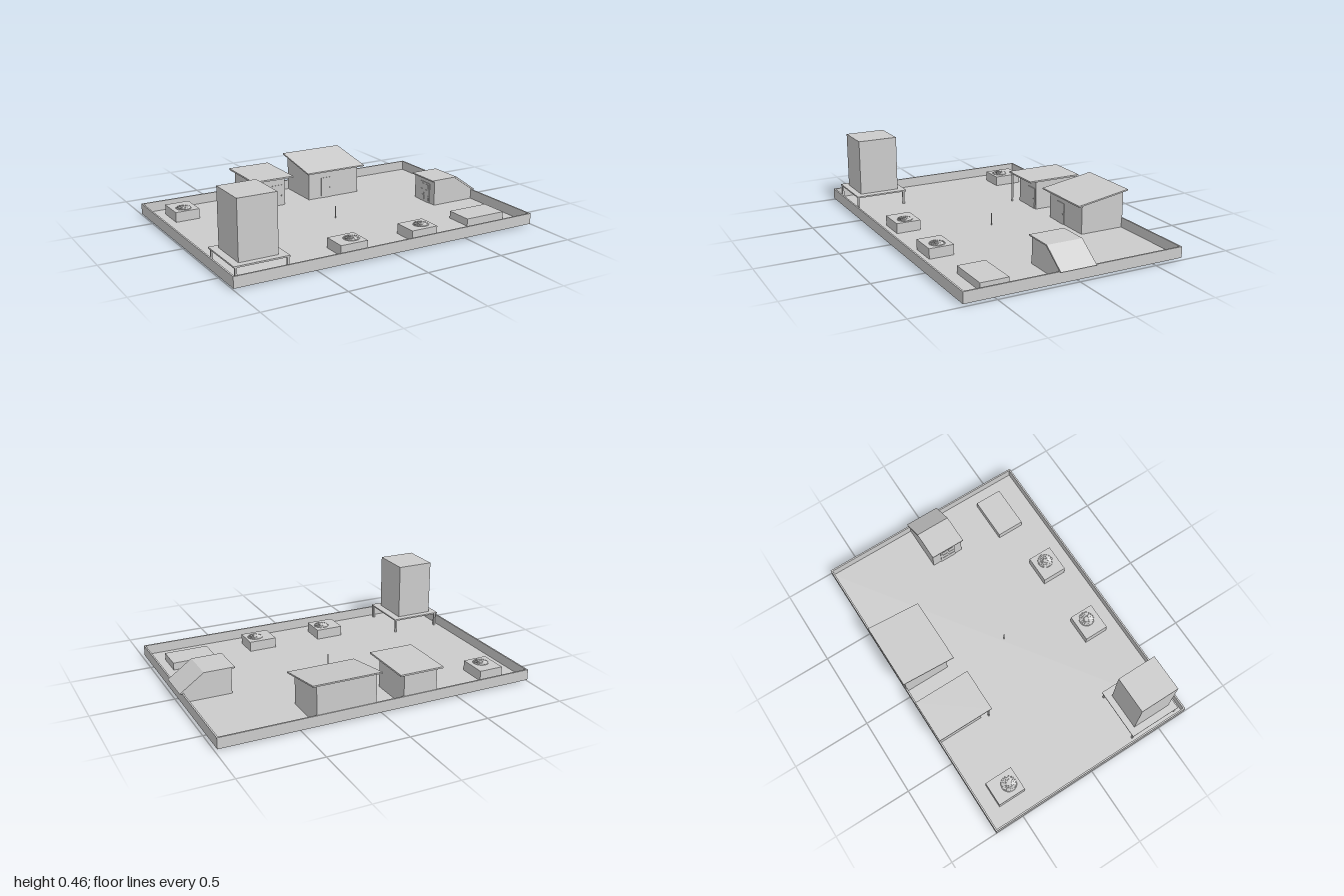
import * as THREE from 'three';

const mat = new THREE.MeshStandardMaterial({ color: 0xcccccc, flatShading: true });
const FLOOR = 0.014;

function add(parent, name, geometry) {
  const mesh = new THREE.Mesh(geometry, mat);
  mesh.name = name;
  parent.add(mesh);
  return mesh;
}

// Box given by its extents on each axis
function box(parent, name, x0, x1, y0, y1, z0, z1) {
  const m = add(parent, name, new THREE.BoxGeometry(x1 - x0, y1 - y0, z1 - z0));
  m.position.set((x0 + x1) / 2, (y0 + y1) / 2, (z0 + z1) / 2);
  return m;
}

function extrude(points, depth) {
  const shape = new THREE.Shape(points.map(([a, b]) => new THREE.Vector2(a, b)));
  return new THREE.ExtrudeGeometry(shape, { depth, bevelEnabled: false });
}

// Side profile in (z, y) carried along x
function prismX(parent, name, points, x0, x1) {
  const g = extrude(points.map(([z, y]) => [-z, y]), x1 - x0);
  g.rotateY(Math.PI / 2).translate(x0, 0, 0);
  return add(parent, name, g);
}

// Front profile in (x, y) carried along z
function prismZ(parent, name, points, z0, z1) {
  return add(parent, name, extrude(points, z1 - z0).translate(0, 0, z0));
}

function group(parent, name) {
  const g = new THREE.Group();
  g.name = name;
  parent.add(g);
  return g;
}

// Cooling unit with a round bladed fan on top
function coolingUnit(parent, x0, x1, z0, z1, fx, fz) {
  const unit = group(parent, 'coolingUnit');
  const top = 0.077;
  box(unit, 'unitCasing', x0, x1, FLOOR, top, z0, z1);
  const fan = group(unit, 'fan');
  fan.position.set(fx, top, fz);
  for (const r of [0.046, 0.018]) {
    add(fan, 'fanRing', new THREE.TorusGeometry(r, 0.003, 6, 24).rotateX(Math.PI / 2));
  }
  add(fan, 'fanHub', new THREE.CylinderGeometry(0.012, 0.012, 0.006, 16));
  const blades = 18;
  for (let i = 0; i < blades; i++) {
    const g = new THREE.BoxGeometry(0.032, 0.0015, 0.007);
    g.rotateX(0.5).translate(0.03, 0.001, 0).rotateY((i / blades) * Math.PI * 2);
    add(fan, 'fanBlade', g);
  }
}

// Front door with a knob
function door(parent, x0, x1) {
  box(parent, 'door', x0, x1, 0, 0.15, -0.404, -0.386);
  const knob = add(parent, 'doorKnob', new THREE.SphereGeometry(0.004, 8, 6));
  knob.position.set(x1 - 0.012, 0.08, -0.405);
  knob.position.z = -0.386;
}

export function createModel() {
  const model = new THREE.Group();
  model.name = 'rooftop';

  // Slab and parapet
  const x0 = -1, x1 = 0.985, zb = -0.69, zf = 0.69, rim = 0.075, t = 0.01;
  box(model, 'floorSlab', x0, x1, 0.008, FLOOR, zb, zf);
  box(model, 'parapetFront', x0, x1, 0.01, rim, zf - t, zf);
  box(model, 'parapetBack', x0, x1, 0.01, rim, zb, zb + t);
  box(model, 'parapetRight', x0, x0 + t, 0.01, rim, zb + t, zf - t);
  box(model, 'parapetLeft', x1 - t, x1, 0.01, rim, zb + t, zf - t);

  // Water tank on a four-legged platform
  const tank = group(model, 'waterTank');
  box(tank, 'tankBody', -0.93, -0.695, 0.107, 0.46, 0.35, 0.605);
  box(tank, 'tankPlatform', -0.975, -0.645, 0.099, 0.108, 0.31, 0.645);
  for (const x of [-0.962, -0.658]) {
    for (const z of [0.325, 0.638]) {
      box(tank, 'platformLeg', x - 0.006, x + 0.006, 0.004, 0.1, z - 0.006, z + 0.006);
    }
  }

  // Cooling units
  coolingUnit(model, -0.88, -0.725, -0.59, -0.41, -0.803, -0.475);
  coolingUnit(model, -0.3, -0.125, 0.435, 0.59, -0.187, 0.512);
  coolingUnit(model, 0.178, 0.355, 0.437, 0.592, 0.29, 0.515);

  // Low bench
  box(model, 'lowBench', 0.615, 0.89, FLOOR, 0.06, 0.37, 0.545);

  // Thin pole in the middle
  const pole = add(model, 'pole', new THREE.CylinderGeometry(0.003, 0.003, 0.078, 8));
  pole.position.set(0.002, 0.053, 0.012);

  // Small hut with a flat roof on one post
  const hut = group(model, 'smallHut');
  box(hut, 'hutWalls', -0.355, -0.14, FLOOR, 0.207, -0.685, -0.39);
  box(hut, 'hutRoof', -0.39, -0.11, 0.206, 0.216, -0.695, -0.328);
  const post = add(hut, 'roofPost', new THREE.CylinderGeometry(0.006, 0.006, 0.194, 10));
  post.position.set(-0.367, 0.111, -0.34);
  door(hut, -0.23, -0.155);

  // Large hut with a roof rising to the back
  const house = group(model, 'largeHut');
  prismX(house, 'houseWalls',
    [[-0.39, FLOOR], [-0.39, 0.204], [-0.685, 0.252], [-0.685, FLOOR]], 0.037, 0.407);
  prismX(house, 'houseRoof',
    [[-0.35, 0.197], [-0.35, 0.206], [-0.7, 0.263], [-0.7, 0.254]], 0.01, 0.435);
  door(house, 0.13, 0.207);

  // Stair shed with a roof sloping down over the parapet
  const shed = group(model, 'stairShed');
  prismZ(shed, 'shedWalls',
    [[0.68, FLOOR], [0.982, FLOOR], [0.982, 0.078], [0.843, 0.175], [0.68, 0.175]], -0.098, 0.115);
  prismZ(shed, 'shedRoof',
    [[0.66, 0.174], [0.842, 0.174], [0.99, 0.072], [1, 0.076], [0.85, 0.182], [0.66, 0.182]],
    -0.105, 0.122);

  // Panelled shed door
  const shedDoor = group(shed, 'shedDoor');
  box(shedDoor, 'doorLeaf', 0.676, 0.682, FLOOR, 0.145, -0.04, 0.065);
  for (let row = 0; row < 3; row++) {
    for (let col = 0; col < 2; col++) {
      const z = -0.03 + col * 0.046, y = 0.028 + row * 0.038;
      box(shedDoor, 'doorPanel', 0.674, 0.68, y, y + 0.03, z, z + 0.038);
    }
  }
  return model;
}
